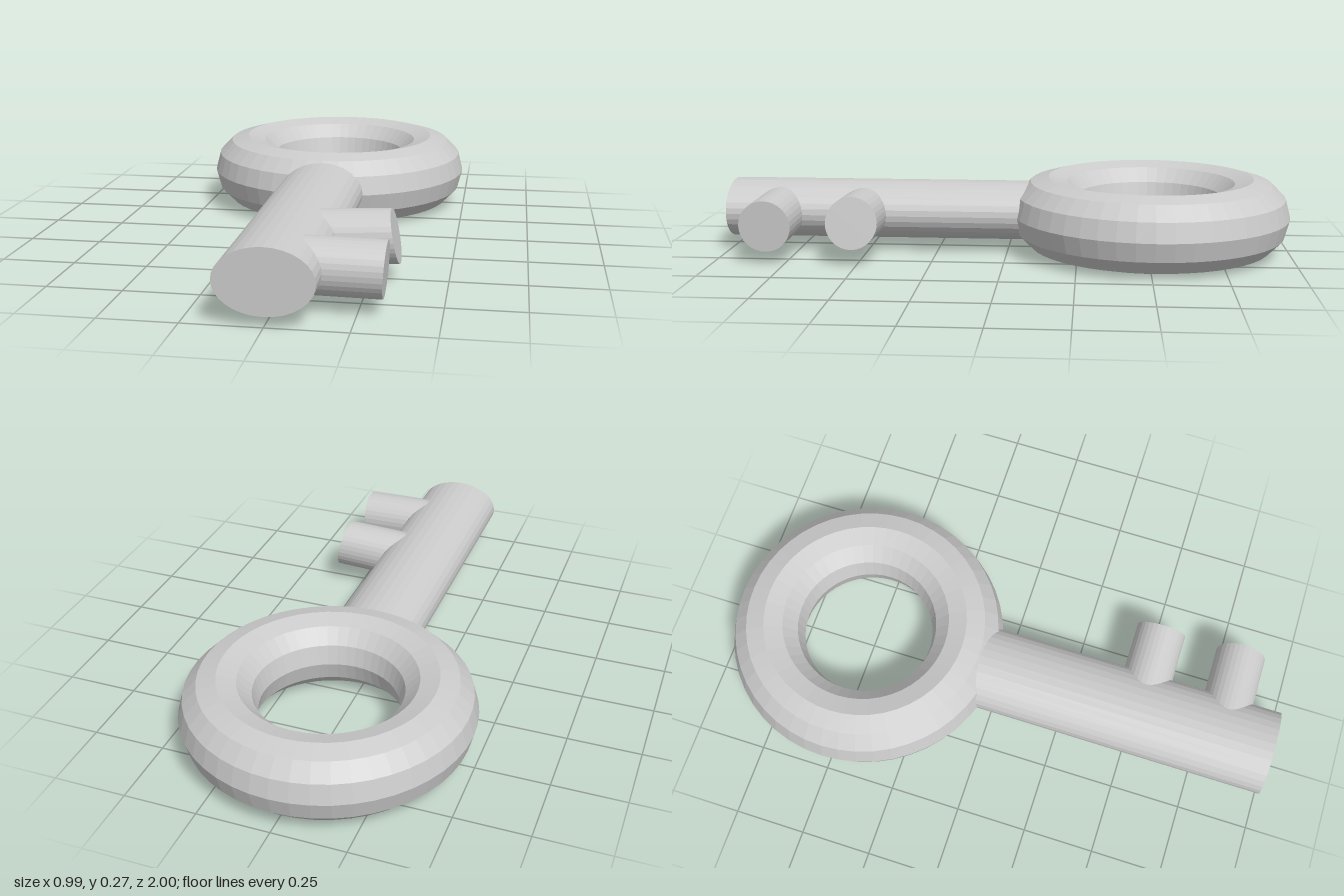
import * as THREE from 'three';

export function createModel() {
  const group = new THREE.Group();
  const material = new THREE.MeshStandardMaterial({ color: 0xcccccc, flatShading: true });

  const add = (name, geometry, x, y, z) => {
    const mesh = new THREE.Mesh(geometry, material);
    mesh.name = name;
    mesh.position.set(x, y, z);
    group.add(mesh);
  };

  // Ring-shaped handle lying flat, with a twelve-sided tube
  const ring = new THREE.TorusGeometry(0.363, 0.13, 12, 48);
  ring.rotateX(Math.PI / 2).scale(1, 1.02, 1);
  add('bow', ring, 0, 0.133, -0.507);

  // Oval shaft, its back end buried in the ring
  const shaft = new THREE.CylinderGeometry(1, 1, 1.15, 32);
  shaft.rotateX(Math.PI / 2).scale(0.153, 0.104, 1);
  add('shaft', shaft, 0, 0.137, 0.425);

  // Round tooth to the left: its axis climbs by slope, its end face leans by lean
  const tooth = (name, y, z, slope, lean) => {
    const length = 0.33;
    const geometry = new THREE.CylinderGeometry(0.089, 0.089, length, 32);
    geometry.rotateZ(-Math.PI / 2).translate(length / 2, 0, 0);
    const p = geometry.attributes.position;
    for (let i = 0; i < p.count; i++) {
      const px = p.getX(i), py = p.getY(i);
      const nx = px > length / 2 ? px - lean * py : px;
      p.setXY(i, nx, py + slope * nx);
    }
    geometry.computeVertexNormals();
    add(name, geometry, 0, y, z);
  };
  tooth('rearTooth', 0.132, 0.513, 0.05, 0.19);
  tooth('frontTooth', 0.137, 0.813, -0.013, -0.055);

  return group;
}
